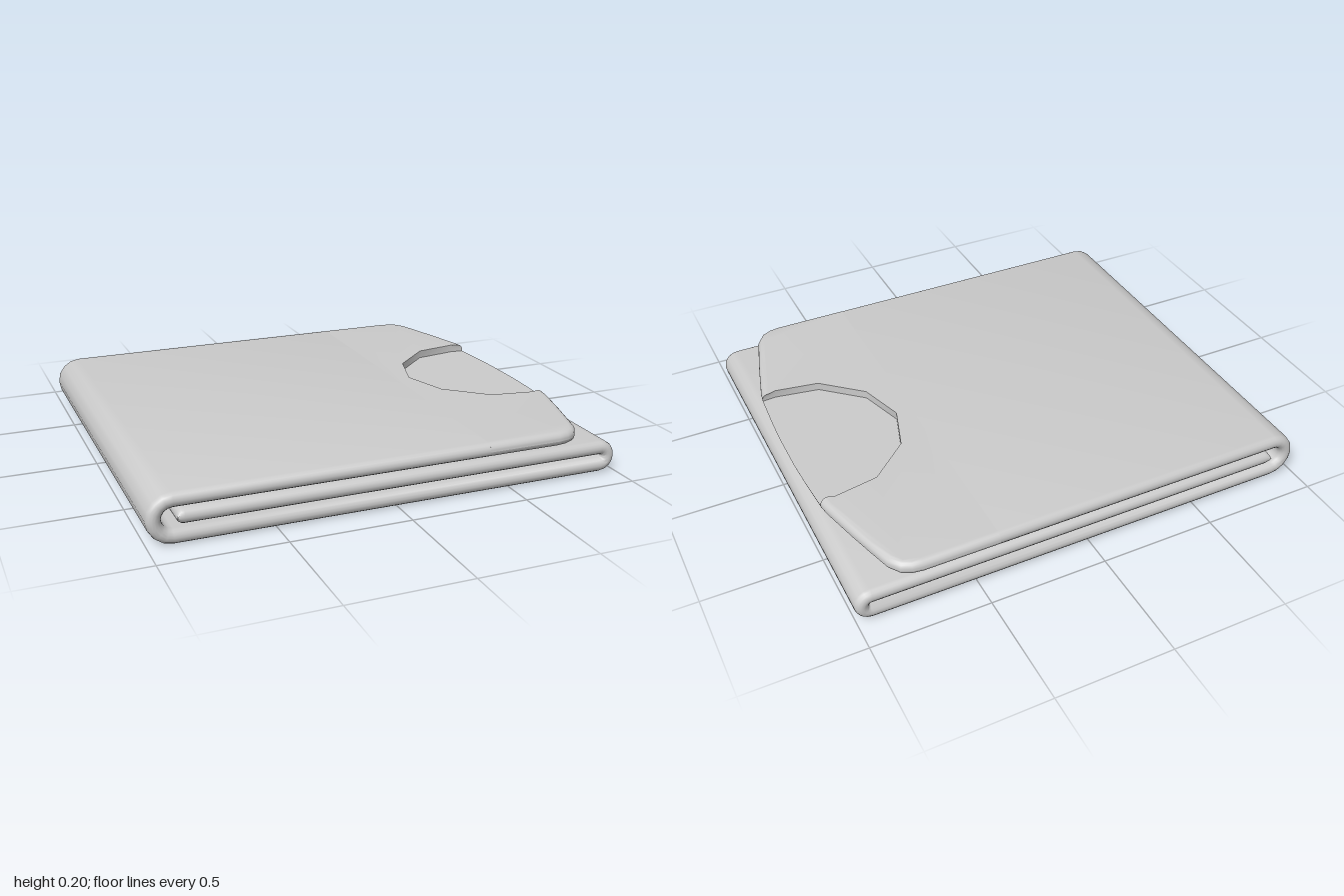
import * as THREE from 'three';
import { mergeGeometries, toCreasedNormals } from 'three/addons/utils/BufferGeometryUtils.js';

const W = 0.877;   // half width of the sheet along z
const T = 0.03;    // half thickness, also the edge radius
const FLAP_X = 0.4; // where the sheet hands over to the shaped flap
const FLAP_Y = 0.175;
const FLOOR = -Math.asin(1 / 6); // edge angle at the level of the thumb recess floor

const range = (n, a, b) => Array.from({ length: n + 1 }, (_, i) => a + (b - a) * i / n);

// Skin closed loops of points; loops run counter-clockwise seen from the far end.
function loft(loops) {
  const n = loops[0].length, index = [];
  for (let k = 0; k < loops.length - 1; k++) {
    for (let i = 0; i < n; i++) {
      const a = k * n + i, b = k * n + (i + 1) % n;
      index.push(a, b, b + n, a, b + n, a + n);
    }
  }
  const g = new THREE.BufferGeometry();
  g.setAttribute('position', new THREE.Float32BufferAttribute(loops.flat(2), 3));
  g.setIndex(index);
  return g.toNonIndexed();
}

// Flat cap over a loop, facing up (dir 1) or down (dir -1).
function cap(loop, dir) {
  const shape = new THREE.Shape(loop.map(([x, , z]) => new THREE.Vector2(x, -dir * z)));
  const g = new THREE.ShapeGeometry(shape).toNonIndexed();
  g.rotateX(-dir * Math.PI / 2).translate(0, loop[0][1], 0);
  g.deleteAttribute('uv');
  g.deleteAttribute('normal');
  return g;
}

// One long sheet, folded right and then left, with rounded side edges.
function foldedSheet() {
  const path = []; // [x, y, normal x, normal y, thickness factor]
  const fold = (cx, cy, r, from, to) => {
    for (const a of range(8, from, to)) {
      const c = Math.cos(a), s = Math.sin(a);
      path.push([cx + r * c, cy + r * s, c, s, 1]);
    }
  };
  // rounded free end of the inner panel
  for (const a of range(4, 0, Math.PI / 2)) {
    path.push([-0.855 - T * Math.cos(a), 0.105, 0, 1, Math.sin(a)]);
  }
  fold(0.932, 0.0675, 0.0375, Math.PI / 2, -Math.PI / 2);
  fold(-0.8975, 0.1025, 0.0725, -Math.PI / 2, -Math.PI * 1.5);
  path.push([FLAP_X, FLAP_Y, 0, 1, 1]);

  const half = range(8, -Math.PI / 2, Math.PI / 2);
  const section = [
    ...half.map(a => [T * Math.sin(a), -(W - T + T * Math.cos(a))]),
    ...half.map(a => [-T * Math.sin(a), W - T + T * Math.cos(a)]),
  ];
  return loft(path.map(([x, y, nx, ny, s]) =>
    section.map(([n, z]) => [x + nx * n * s, y + ny * n * s, z])));
}

// Plan outline of the flap's front half, [x, z].
const edge = [[FLAP_X, W], [0.72, W], [0.765, 0.87], [0.805, 0.85], [0.84, 0.8],
  [0.87, 0.7], [0.9, 0.595], [0.945, 0.425], [0.952, 0.38]];
const frontEdge = [[0.962, 0.22], [0.967, 0.1]];
// Front half of the thumb recess, from the flap edge inwards.
const recess = [[0.89, 0.385], [0.7, 0.353], [0.53, 0.2]];

// Loop at edge angle a: the outer edge shrinks with the rounding, the recess stays upright.
function flapLoop(outer, inner, a) {
  const inset = T * (1 - Math.cos(a)), y = FLAP_Y + T * Math.sin(a);
  const front = outer.map(([x, z], i) => {
    if (i === 0) return [x, y, z - inset];
    const p = outer[i - 1], q = outer[Math.min(i + 1, outer.length - 1)];
    const nx = p[1] - q[1], nz = q[0] - p[0], l = Math.hypot(nx, nz);
    return [x - inset * nx / l, y, z - inset * nz / l];
  });
  for (const [x, z] of inner) front.push([x, y, z]);
  const back = front.map(([x, py, z]) => [x, py, -z]).reverse();
  const tip = inner.length ? [[0.468, y, 0]] : [];
  return [...front, ...tip, ...back];
}

function flapLayer(outer, inner, from, to) {
  const loops = range(6, from, to).map(a => flapLoop(outer, inner, a));
  return mergeGeometries([
    ...[loft(loops)],
    cap(loops[0], -1),
    cap(loops[loops.length - 1], 1),
  ].map(g => {
    const p = new THREE.BufferGeometry();
    p.setAttribute('position', g.getAttribute('position'));
    return p;
  }));
}

export function createModel() {
  const group = new THREE.Group();
  group.name = 'foldedCase';
  const material = new THREE.MeshStandardMaterial({ color: 0xcccccc, side: THREE.DoubleSide });
  const add = (name, geometry) => {
    const mesh = new THREE.Mesh(toCreasedNormals(geometry, 0.7), material);
    mesh.name = name;
    group.add(mesh);
  };

  add('foldedSheet', foldedSheet());
  // lower half of the flap carries the recess floor, upper half is cut around it
  add('flapBase', flapLayer([...edge, ...frontEdge], [], -Math.PI / 2, FLOOR));
  add('flapTop', flapLayer(edge, recess, FLOOR, Math.PI / 2));
  return group;
}
